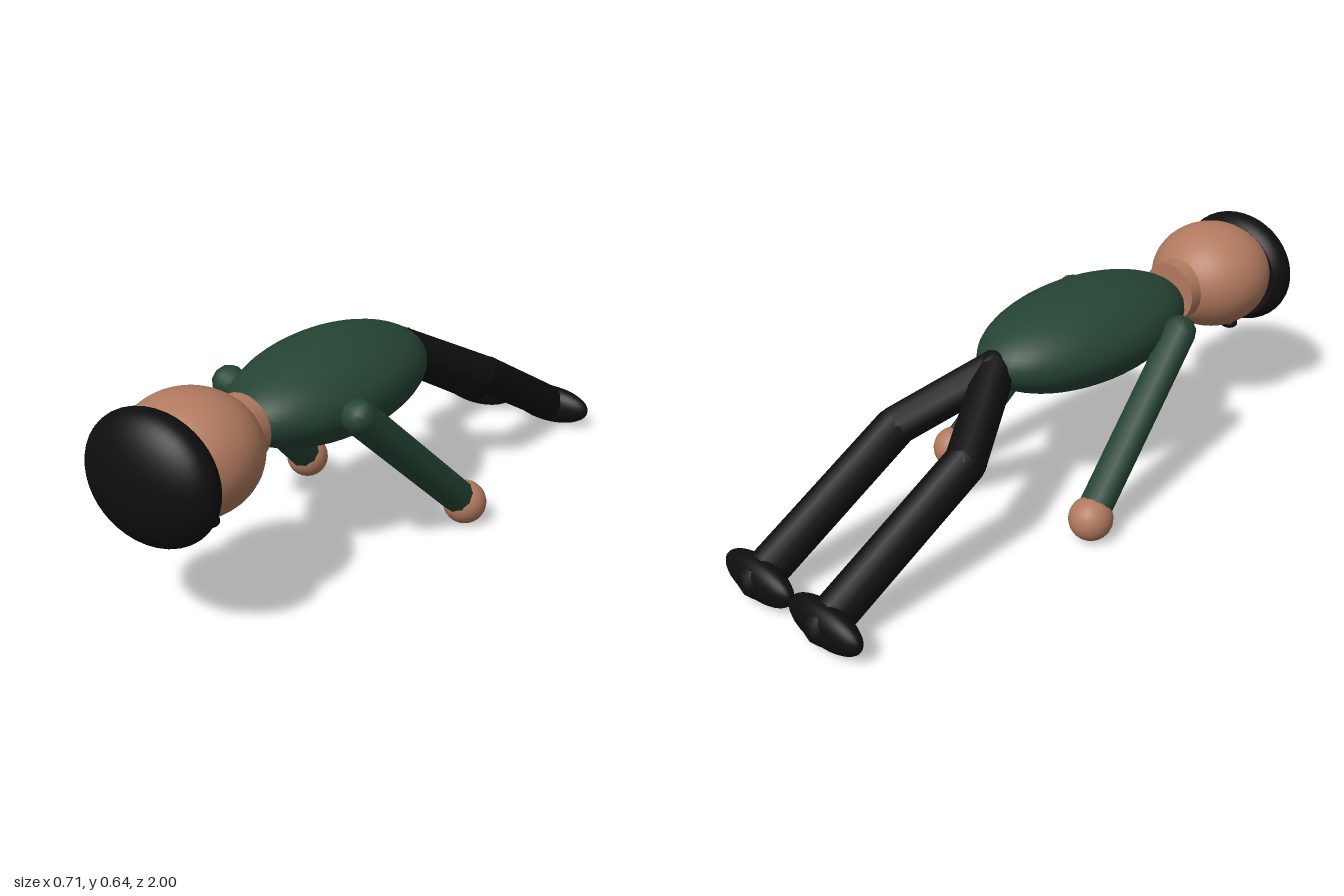
import * as THREE from 'three';

const skin = new THREE.MeshStandardMaterial({ color: 0xb27a5f });
skin.name = 'skin';
const green = new THREE.MeshStandardMaterial({ color: 0x254433 });
green.name = 'green shirt';
const black = new THREE.MeshStandardMaterial({ color: 0x0e0e0e });
black.name = 'black cloth and hair';
const hairBlack = black.clone();
hairBlack.name = 'black hair';
hairBlack.side = THREE.DoubleSide;

export function createModel() {
  const model = new THREE.Group();
  model.name = 'figure';

  const add = (name, geometry, material) => {
    const mesh = new THREE.Mesh(geometry, material);
    mesh.name = name;
    model.add(mesh);
    return mesh;
  };

  const ellipsoid = (name, center, radii, material, segments = 32) => {
    const mesh = add(name, new THREE.SphereGeometry(1, segments, segments * 0.75), material);
    mesh.position.set(...center);
    mesh.scale.set(...radii);
    return mesh;
  };

  // Round-ended limb between two joints
  const limb = (name, from, to, radius, material) => {
    const a = new THREE.Vector3(...from);
    const b = new THREE.Vector3(...to);
    const mesh = add(name, new THREE.CapsuleGeometry(radius, a.distanceTo(b), 3, 10), material);
    mesh.position.copy(a).lerp(b, 0.5);
    mesh.quaternion.setFromUnitVectors(new THREE.Vector3(0, 1, 0), b.sub(a).normalize());
    return mesh;
  };

  // Body, neck and head lie along z, face down
  ellipsoid('torso', [0, 0.477, 0.166], [0.212, 0.142, 0.39], green, 40);
  const neck = add('neck', new THREE.CylinderGeometry(0.094, 0.094, 0.1, 24), skin);
  neck.rotation.x = Math.PI / 2;
  neck.position.set(0, 0.476, 0.606);
  ellipsoid('head', [0, 0.478, 0.765], [0.19, 0.167, 0.19], skin, 40);

  // Cap of hair over the crown, open towards the neck
  const cap = new THREE.SphereGeometry(1, 40, 20, 0, Math.PI * 2, 0, Math.PI * 0.655);
  cap.rotateX(Math.PI / 2);
  const hair = add('hair', cap, hairBlack);
  hair.scale.set(0.205, 0.18, 0.095);
  hair.position.set(0, 0.465, 0.905);

  // Paired parts
  for (const [side, s] of [['left', 1], ['right', -1]]) {
    ellipsoid(side + 'Eye', [s * 0.07, 0.32, 0.786], [0.03, 0.018, 0.027], black, 16);

    limb(side + 'Arm', [s * 0.22, 0.48, 0.342], [s * 0.288, 0.068, -0.108], 0.051, green);
    ellipsoid(side + 'Hand', [s * 0.29, 0.067, -0.108], [0.065, 0.065, 0.065], skin, 24);

    const hip = [0, 0.473, -0.2];
    const knee = [s * 0.144, 0.335, -0.45];
    const ankle = [s * 0.144, 0.065, -0.942];
    limb(side + 'Thigh', hip, knee, 0.059, black);
    limb(side + 'Shin', knee, ankle, 0.059, black);
    ellipsoid(side + 'Foot', [s * 0.144, 0.065, -0.942], [0.143, 0.064, 0.046], black, 24);
  }

  return model;
}
